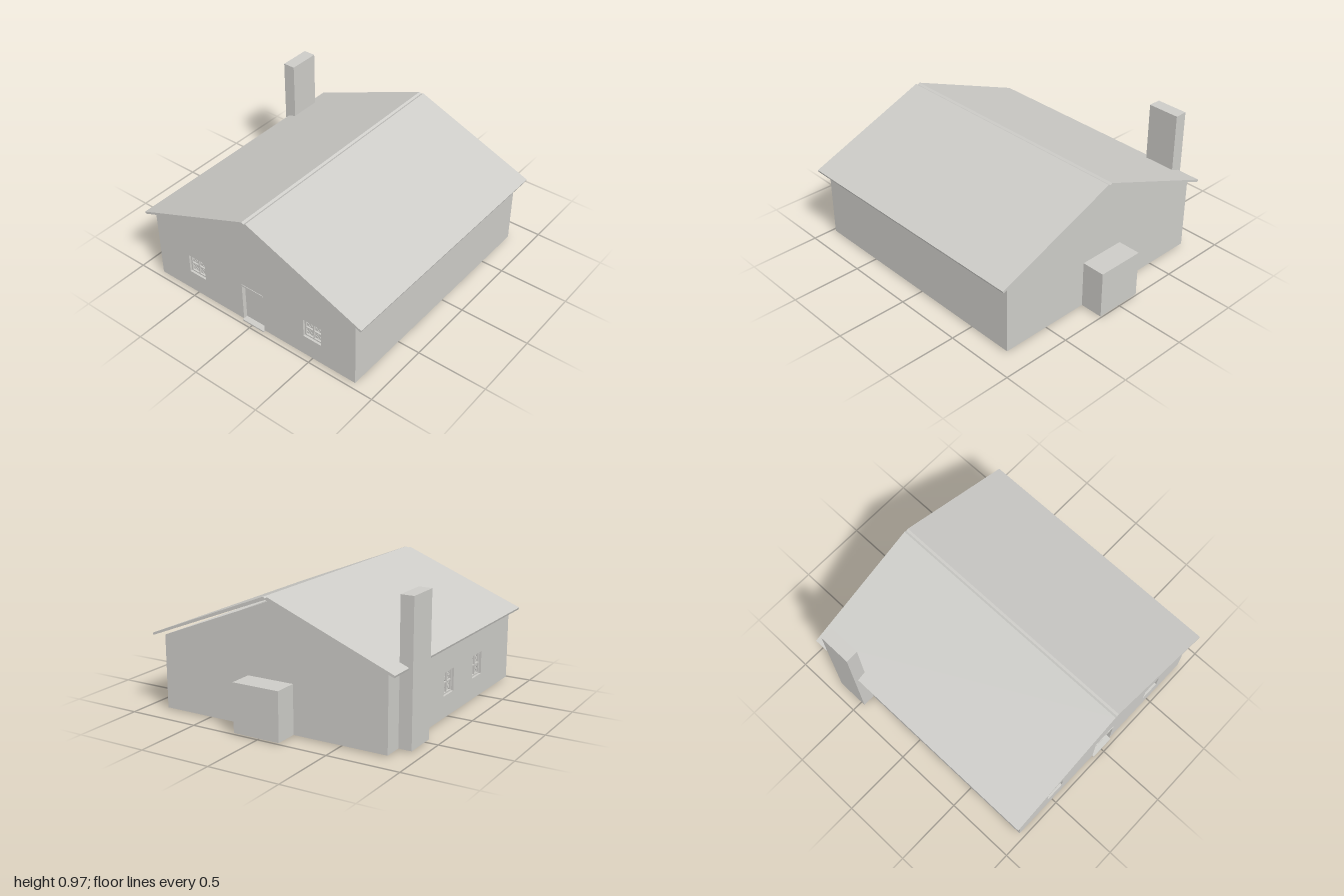
import * as THREE from 'three';

const plaster = new THREE.MeshStandardMaterial({ color: 0xcccbc7 });
plaster.name = 'pale grey';

const CX = 0.01, WALL = 0.04;          // ridge line and wall thickness
const X0 = -0.83, X1 = 0.845;          // outer wall faces
const Z0 = -0.835, Z1 = 0.963;
const BASE = 0.01, EAVE = 0.517, APEX = 0.85;

function add(parent, name, geometry, x = 0, y = 0, z = 0) {
  const mesh = new THREE.Mesh(geometry, plaster);
  mesh.name = name;
  mesh.position.set(x, y, z);
  parent.add(mesh);
  return mesh;
}

// Box given by its limits on each axis
function block(parent, name, [xa, xb], [ya, yb], [za, zb]) {
  return add(parent, name, new THREE.BoxGeometry(xb - xa, yb - ya, zb - za),
    (xa + xb) / 2, (ya + yb) / 2, (za + zb) / 2);
}

const polygon = (pts) => new THREE.Shape(pts.map(([x, y]) => new THREE.Vector2(x, y)));
const rectHole = (x, y, w, h) => new THREE.Path([
  [x - w / 2, y - h / 2], [x - w / 2, y + h / 2], [x + w / 2, y + h / 2], [x + w / 2, y - h / 2],
].map(([a, b]) => new THREE.Vector2(a, b)));

function extrude(shape, depth) {
  return new THREE.ExtrudeGeometry(shape, { depth, bevelEnabled: false });
}

// Recessed lattice window facing +z, its origin on the outer wall face
function makeWindow(name, w, h) {
  const g = new THREE.Group();
  g.name = name;
  add(g, 'pane', new THREE.BoxGeometry(w, h, 0.004), 0, 0, -0.034);
  const f = 0.01;
  for (const s of [-1, 1]) {
    add(g, 'frameSide', new THREE.BoxGeometry(f, h, 0.012), s * (w - f) / 2, 0, -0.022);
    add(g, 'frameRail', new THREE.BoxGeometry(w, f, 0.012), 0, s * (h - f) / 2, -0.022);
  }
  add(g, 'mullion', new THREE.BoxGeometry(0.008, h, 0.012), 0, 0, -0.022);
  add(g, 'transom', new THREE.BoxGeometry(w, 0.008, 0.012), 0, 0, -0.022);
  // Crossed bars in each of the four lights
  const lw = w / 2 - f, lh = h / 2 - f;
  for (const sx of [-1, 1]) for (const sy of [-1, 1]) for (const d of [-1, 1]) {
    for (const k of [-0.5, 0, 0.5]) {
      const len = Math.hypot(lw, lh) * (1 - Math.abs(k));
      const bar = add(g, 'latticeBar', new THREE.BoxGeometry(len, 0.003, 0.003),
        sx * w / 4 + k * lw / 2, sy * h / 4 - d * k * lh / 2, -0.029);
      bar.rotation.z = d * Math.atan2(lh, lw);
    }
  }
  return g;
}

function gable() {
  return polygon([[X0, BASE], [X1, BASE], [X1, EAVE], [CX, APEX], [X0, EAVE]]);
}

export function createModel() {
  const house = new THREE.Group();
  house.name = 'house';

  // Front gable with a door opening and two windows
  const front = polygon([[X0, BASE], [-0.08, BASE], [-0.08, 0.3], [0.1, 0.3], [0.1, BASE],
    [X1, BASE], [X1, EAVE], [CX, APEX], [X0, EAVE]]);
  for (const x of [-0.4825, 0.505]) {
    front.holes.push(rectHole(x, 0.235, 0.143, 0.14));
    const win = makeWindow('frontWindow', 0.143, 0.14);
    win.position.set(x, 0.235, Z1);
    house.add(win);
  }
  add(house, 'frontWall', extrude(front, WALL), 0, 0, Z1 - WALL);
  add(house, 'backWall', extrude(gable(), WALL), 0, 0, Z0);

  // Side walls; the one beside the chimney has two windows
  const za = Z0 + WALL, zb = Z1 - WALL;
  block(house, 'leftWall', [X1 - WALL, X1], [BASE, EAVE], [za, zb]);
  const side = polygon([[za, BASE], [zb, BASE], [zb, EAVE], [za, EAVE]]);
  for (const z of [-0.01, 0.43]) {
    side.holes.push(rectHole(z, 0.24, 0.145, 0.16));
    const win = makeWindow('sideWindow', 0.145, 0.16);
    win.position.set(X0, 0.24, z);
    win.rotation.y = -Math.PI / 2;
    house.add(win);
  }
  add(house, 'rightWall', extrude(side, WALL), X0 + WALL).rotation.y = -Math.PI / 2;

  // Floor slab, set in from the outer wall faces
  block(house, 'floor', [X0 + WALL, X1 - WALL], [0, 0.02], [za, zb]);

  // Door, lintel and step
  block(house, 'door', [-0.08, 0.1], [BASE, 0.3], [Z1 - WALL, Z1 - 0.03]);
  block(house, 'lintel', [-0.08, 0.1], [0.3, 0.312], [Z1, Z1 + 0.004]);
  block(house, 'doorStep', [-0.08, 0.1], [0, 0.01], [zb, 0.975]);

  // Lean-to box at the back on its own footing
  block(house, 'backAnnex', [-0.16, 0.18], [BASE, 0.345], [-1, Z0]);
  block(house, 'annexFooting', [-0.12, 0.14], [0, BASE], [-0.98, za]);

  // Chimney against the side wall
  block(house, 'chimney', [-0.92, X0], [BASE, 0.97], [-0.7, -0.467]);

  // Roof: two thin slopes meeting at a notched ridge, clear of the gables
  const half = [[0.016, 0.884], [0.905, 0.53], [0.9, 0.515]];
  const roof = polygon([
    [CX, 0.876],
    ...half.map(([x, y]) => [CX + x, y]),
    [CX, 0.866],
    ...half.map(([x, y]) => [CX - x, y]).reverse(),
  ]);
  add(house, 'roof', extrude(roof, 1.877), 0, 0, -0.877);

  return house;
}
